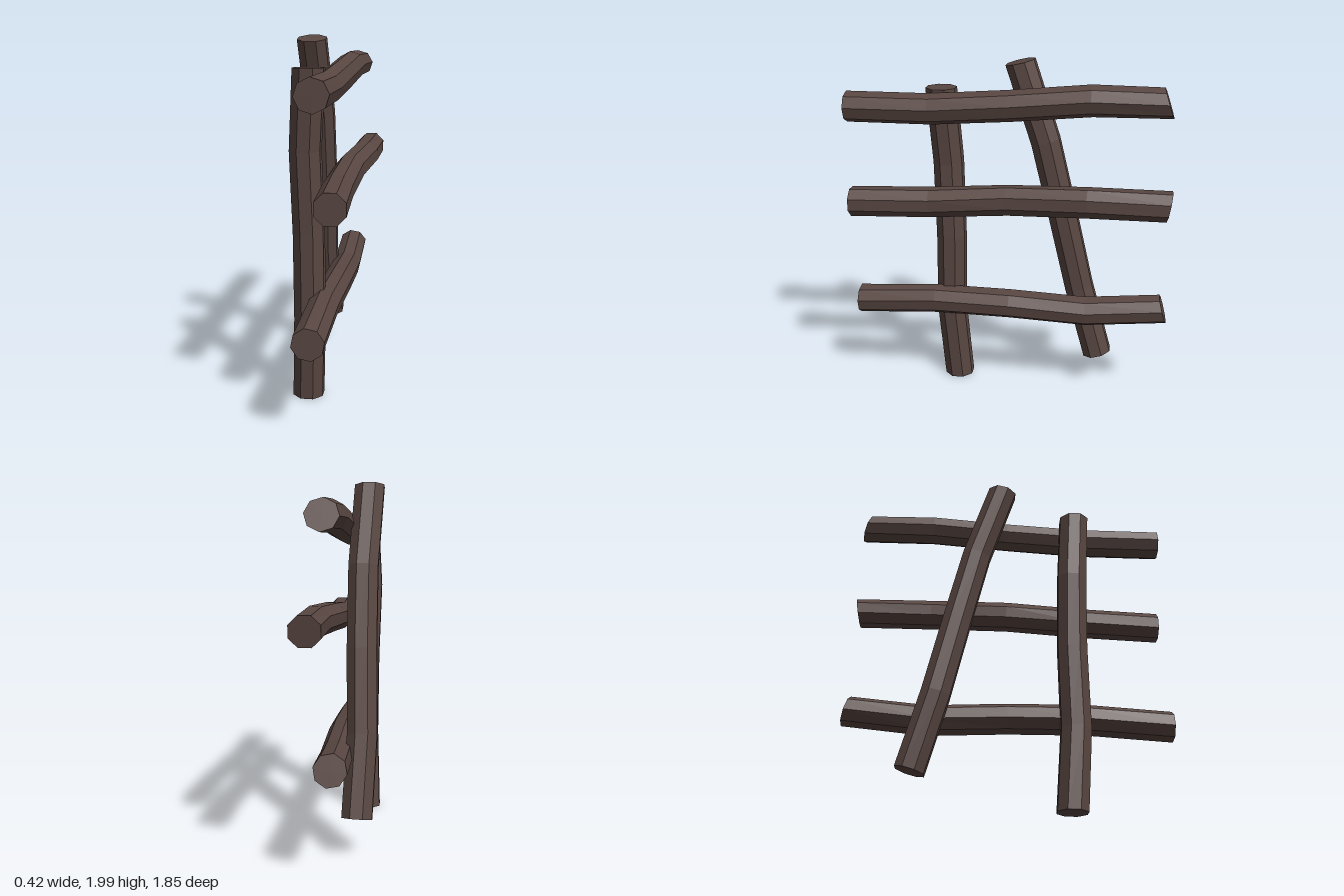
import * as THREE from 'three';

const wood = new THREE.MeshStandardMaterial({ color: 0x584641, flatShading: true });
wood.name = 'dark weathered wood';

// Eight-sided log swept along five points; optional directions set the slant of its end cuts
function log(name, radius, spin, points, startDir, endDir) {
  const path = points.map(p => new THREE.Vector3(...p));
  const last = path.length - 1;
  const up = new THREE.Vector3(0, 1, 0);
  const turns = path.map((p, i) => {
    const dir = path[Math.min(i + 1, last)].clone().sub(path[Math.max(i - 1, 0)]);
    if (i === 0 && startDir) dir.set(...startDir);
    if (i === last && endDir) dir.set(...endDir);
    return new THREE.Quaternion().setFromUnitVectors(up, dir.normalize());
  });
  const geo = new THREE.CylinderGeometry(radius, radius, 1, 8, last);
  geo.rotateY(spin);
  const pos = geo.attributes.position;
  const v = new THREE.Vector3();
  for (let k = 0; k < pos.count; k++) {
    v.fromBufferAttribute(pos, k);
    const i = Math.round((v.y + 0.5) * last);
    v.setY(0).applyQuaternion(turns[i]).add(path[i]);
    pos.setXYZ(k, v.x, v.y, v.z);
  }
  geo.computeVertexNormals();
  const mesh = new THREE.Mesh(geo, wood);
  mesh.name = name;
  return mesh;
}

export function createModel() {
  const group = new THREE.Group();
  group.name = 'brokenFence';
  const flat = Math.PI / 8;

  // Upright post and leaning post
  group.add(log('frontPost', 0.09, flat, [
    [-0.10, 0.005, 0.34], [-0.085, 0.47, 0.375], [-0.09, 0.95, 0.368], [-0.105, 1.4, 0.378], [-0.08, 1.835, 0.405],
  ], [0, 1, 0.02], [0, 1, 0]));
  group.add(log('leaningPost', 0.088, flat, [
    [-0.10, 0.217, -0.525], [-0.12, 0.65, -0.40], [-0.11, 1.1, -0.295], [-0.11, 1.54, -0.187], [-0.135, 1.98, -0.036],
  ], null, [0, 1, 0.23]));

  // Rails, from the back end to the front end
  group.add(log('topRail', 0.087, 0.08, [
    [0.045, 1.814, -0.858], [0.04, 1.812, -0.45], [0.025, 1.765, 0], [0.015, 1.73, 0.45], [0.02, 1.73, 0.93],
  ], [0, -0.33, 0.94], [0, 0, 1]));
  group.add(log('middleRail', 0.087, flat, [
    [0.125, 1.265, -0.893], [0.127, 1.265, -0.45], [0.09, 1.243, 0], [0.08, 1.205, 0.45], [0.103, 1.195, 0.91],
  ], [0, 0.16, 1], [0, 0, 1]));
  group.add(log('bottomRail', 0.087, 0.2, [
    [0.005, 0.589, -0.90], [0.015, 0.546, -0.45], [0.015, 0.562, 0], [0, 0.557, 0.45], [-0.005, 0.522, 0.93],
  ], [0, -0.28, 0.96], [0, 0, 1]));

  return group;
}
